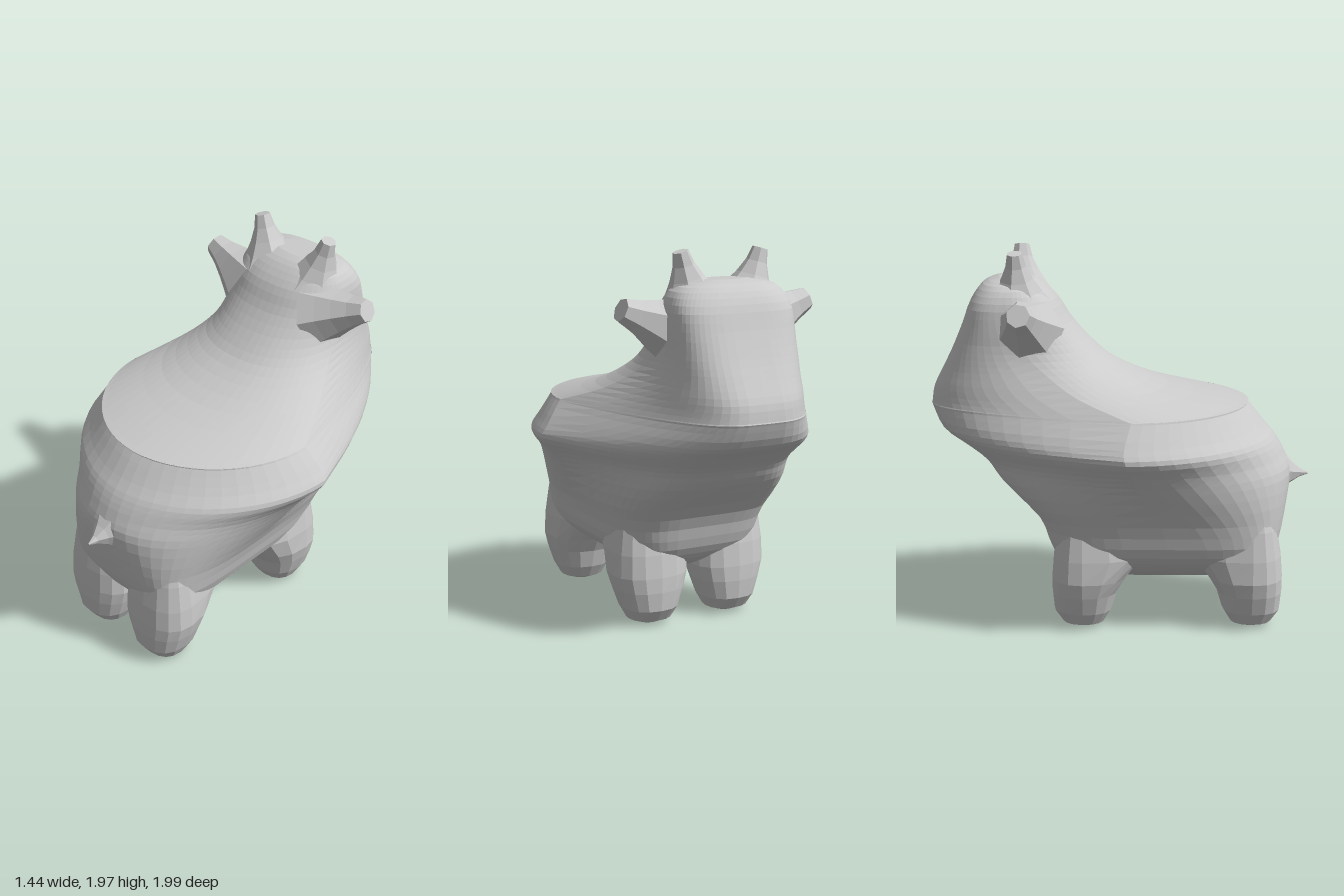
import * as THREE from 'three';

const material = new THREE.MeshStandardMaterial({ color: 0xcccccc, flatShading: true });
const { smoothstep } = THREE.MathUtils;

// Catmull-Rom blend of neighbouring section rows
function blend(rows, i, t) {
  const at = (k) => rows[Math.min(Math.max(k, 0), rows.length - 1)];
  const [a, b, c, d] = [at(i - 1), at(i), at(i + 1), at(i + 2)];
  return b.map((v, k) => {
    const m0 = (c[k] - a[k]) / 2, m1 = (d[k] - v) / 2, t2 = t * t, t3 = t2 * t;
    return (2 * t3 - 3 * t2 + 1) * v + (t3 - 2 * t2 + t) * m0 + (3 * t2 - 2 * t3) * c[k] + (t3 - t2) * m1;
  });
}

// Stack of horizontal sections. Row: [y, half width, rear z, head-end z, z of widest point].
// form(y) gives the corner exponents of the rear and head-end halves and the taper towards the head end
function loft(rows, sides, steps, form) {
  const rings = [];
  for (let i = 0; i < rows.length - 1; i++)
    for (let s = 0; s < steps; s++) rings.push(blend(rows, i, s / steps));
  rings.push(rows[rows.length - 1]);

  const pos = [], index = [];
  const pow = (v, e) => Math.sign(v) * Math.abs(v) ** e;
  for (const [y, w, zb, zf, zm] of rings) {
    const { rear, head, taper } = form(y);
    for (let j = 0; j < sides; j++) {
      const a = (j / sides) * Math.PI * 2, e = Math.sin(a) > 0 ? rear : head, s = pow(Math.sin(a), e);
      const narrowing = 1 - taper * Math.max(0, -s);
      pos.push(w * pow(Math.cos(a), e) * narrowing, y, zm + s * (s > 0 ? zb - zm : zm - zf));
    }
  }
  for (let i = 0; i < rings.length - 1; i++)
    for (let j = 0; j < sides; j++) {
      const a = i * sides + j, b = i * sides + ((j + 1) % sides);
      index.push(a, a + sides, b, b, a + sides, b + sides);
    }
  // Close both ends
  [rings[0], rings[rings.length - 1]].forEach(([y, , zb, zf], end) => {
    const centre = pos.length / 3, base = end ? (rings.length - 1) * sides : 0;
    pos.push(0, y, (zb + zf) / 2);
    for (let j = 0; j < sides; j++) {
      const a = base + j, b = base + ((j + 1) % sides);
      index.push(...(end ? [centre, b, a] : [centre, a, b]));
    }
  });
  const geo = new THREE.BufferGeometry();
  geo.setAttribute('position', new THREE.Float32BufferAttribute(pos, 3));
  geo.setIndex(index);
  geo.computeVertexNormals();
  return geo;
}

function addMesh(group, name, geo) {
  const mesh = new THREE.Mesh(geo, material);
  mesh.name = name;
  group.add(mesh);
  return mesh;
}

// Faceted spike with a flared root, running from one point to another
function addSpike(group, name, from, to, rootRadius, tipRadius, flare) {
  const a = new THREE.Vector3(...from), dir = new THREE.Vector3(...to).sub(a), length = dir.length();
  const points = [0, 0.25, 0.5, 0.75, 1].map((t) =>
    new THREE.Vector2(tipRadius + (rootRadius - tipRadius) * (1 - t) ** flare, t * length));
  points.push(new THREE.Vector2(0, length));
  const mesh = addMesh(group, name, new THREE.LatheGeometry(points, 7));
  mesh.position.copy(a);
  mesh.quaternion.setFromUnitVectors(new THREE.Vector3(0, 1, 0), dir.normalize());
}

// Boxy hips and chest, round seat, tapered boxy muzzle, rounded crown
const bodyForm = (y) => ({
  rear: 0.46 + 0.62 * smoothstep(y, 0.4, 1) - 0.2 * smoothstep(y, 1.1, 1.4),
  head: 0.46 + 0.12 * smoothstep(y, 0.5, 1) + 0.2 * smoothstep(y, 1.65, 1.83),
  taper: 0.4 * smoothstep(y, 0.6, 1) * (1 - smoothstep(y, 1.15, 1.5)),
});
const legForm = () => ({ rear: 0.85, head: 0.85, taper: 0 });

export function createModel() {
  const group = new THREE.Group();
  group.name = 'animalSeat';

  // Trunk, rim, seat, neck and head as one continuous skin
  addMesh(group, 'bodyAndHead', loft([
    [0.24, 0.13, 0.55, -0.08, 0.25],
    [0.32, 0.29, 0.74, -0.27, 0.25],
    [0.42, 0.40, 0.82, -0.36, 0.25],
    [0.60, 0.46, 0.87, -0.43, 0.22],
    [0.80, 0.575, 0.90, -0.63, 0.12],
    [0.90, 0.645, 0.87, -0.71, 0.07],
    [0.99, 0.72, 0.82, -0.83, 0.04],
    [1.06, 0.69, 0.76, -0.93, 0.03],
    [1.17, 0.61, 0.67, -0.985, 0.06],
    [1.185, 0.595, 0.64, -0.985, 0.04],
    [1.27, 0.48, 0.25, -0.97, -0.2],
    [1.37, 0.39, 0.00, -0.92, -0.36],
    [1.47, 0.345, -0.13, -0.87, -0.47],
    [1.60, 0.335, -0.25, -0.815, -0.54],
    [1.72, 0.32, -0.33, -0.77, -0.57],
    [1.80, 0.26, -0.42, -0.71, -0.56],
    [1.83, 0.12, -0.49, -0.63, -0.56],
  ], 56, 3, bodyForm));

  // Leg sections: y, half width, reach away from the belly, reach under the belly
  const legRows = [
    [0.01, 0.05, 0.05, 0.05],
    [0.035, 0.115, 0.11, 0.11],
    [0.10, 0.15, 0.155, 0.15],
    [0.20, 0.185, 0.165, 0.18],
    [0.28, 0.205, 0.165, 0.23],
    [0.40, 0.20, 0.155, 0.32],
    [0.55, 0.18, 0.13, 0.30],
    [0.72, 0.14, 0.08, 0.20],
  ];
  for (const side of [1, -1]) {
    const name = side > 0 ? 'left' : 'right';

    // Stubby legs, flaring into the trunk
    for (const [part, z, x] of [['RearLeg', 0.69, 0.21], ['HeadEndLeg', -0.19, 0.23]]) {
      const rows = legRows.map(([y, w, out, under]) =>
        z > 0 ? [y, w, out, -under, 0] : [y, w, under, -out, 0]);
      addMesh(group, name + part, loft(rows, 16, 1, legForm)).position.set(side * x, 0, z);
    }

    // Horns and ears
    addSpike(group, name + 'Horn', [side * 0.15, 1.7, -0.52], [side * 0.225, 1.965, -0.53], 0.18, 0.04, 1.6);
    addSpike(group, name + 'Ear', [side * 0.23, 1.575, -0.47], [side * 0.525, 1.695, -0.49], 0.19, 0.06, 1.3);
  }

  // Short pointed tail
  addSpike(group, 'tail', [0, 0.79, 0.82], [0, 0.775, 1.0], 0.16, 0.004, 1.5);
  return group;
}
